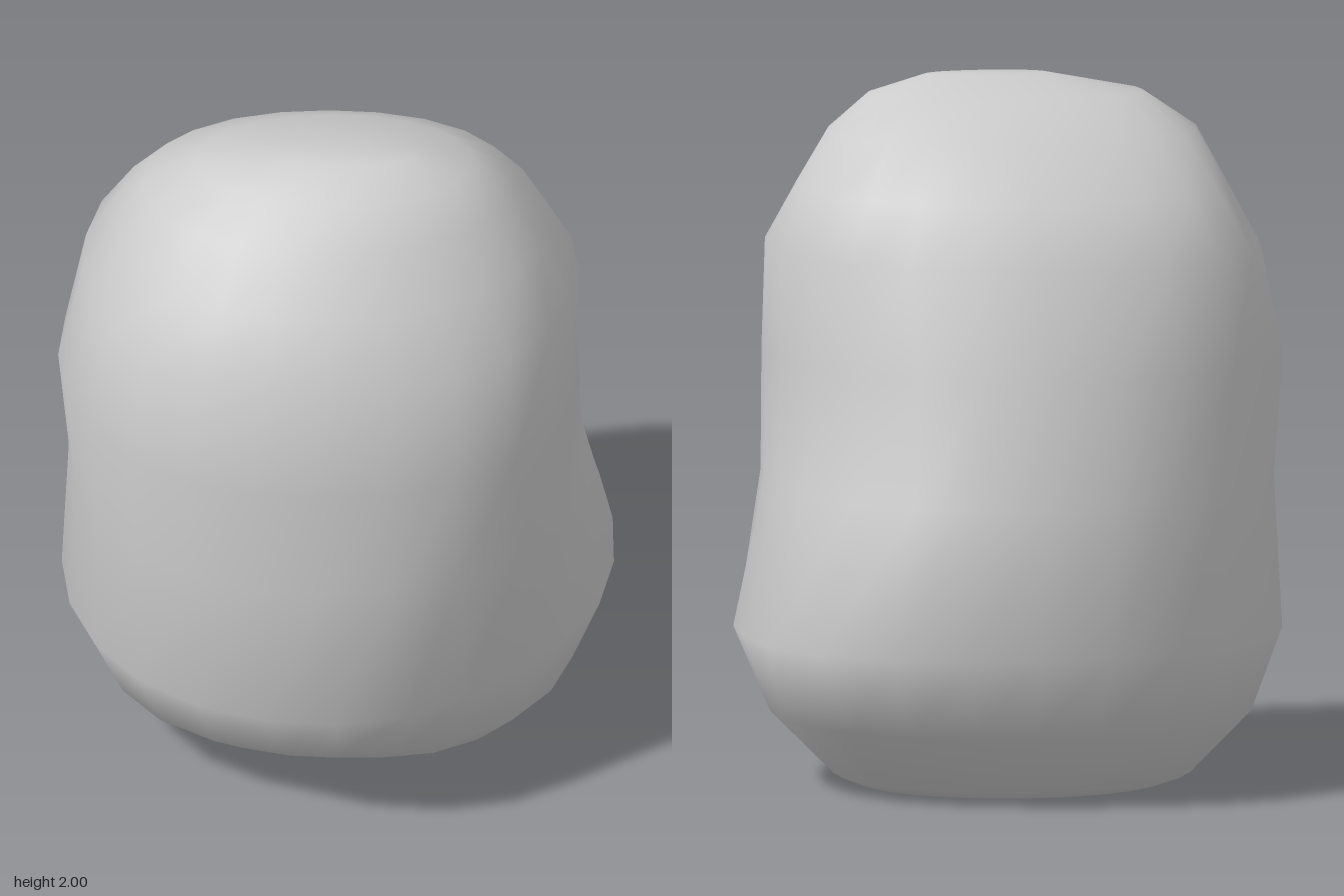
import * as THREE from 'three';

// Rings: y, xMin, xMax, zMin, zMax, then the corner bulge towards +x+z, -x+z, -x-z, +x-z
const RINGS = [
  [0.00, -0.44, 0.44, -0.42, 0.32, 1.10, 1.00, 1.00, 1.00],
  [0.03, -0.51, 0.51, -0.49, 0.38, 1.12, 1.04, 1.03, 1.02],
  [0.21, -0.68, 0.69, -0.68, 0.62, 1.03, 1.04, 1.07, 1.06],
  [0.45, -0.78, 0.79, -0.80, 0.81, 0.93, 1.02, 1.02, 1.12],
  [0.87, -0.76, 0.70, -0.72, 0.76, 1.06, 1.03, 1.00, 1.05],
  [1.22, -0.79, 0.69, -0.63, 0.78, 1.07, 1.03, 1.03, 1.01],
  [1.53, -0.72, 0.69, -0.53, 0.70, 1.02, 1.05, 1.09, 1.01],
  [1.70, -0.63, 0.60, -0.41, 0.59, 1.00, 1.03, 1.07, 1.03],
  [1.85, -0.55, 0.51, -0.24, 0.48, 0.99, 1.00, 1.03, 1.03],
  [1.95, -0.40, 0.39, -0.08, 0.37, 1.00, 1.00, 1.00, 1.00],
  [2.00, -0.13, 0.22, 0.12, 0.24, 1.00, 1.00, 1.00, 1.00],
];
const SIDES = 24;

// Point on a ring: an ellipse fitted to its extents, with each corner pushed in or out
function ringPoint([y, x0, x1, z0, z1, ...bulge], j) {
  const a = (j / SIDES) * Math.PI * 2;
  const corner = bulge[Math.floor((j * 4) / SIDES)];
  const r = 1 + (corner - 1) * Math.sin(2 * a) ** 2;
  return [
    (x0 + x1) / 2 + ((x1 - x0) / 2) * Math.cos(a) * r,
    y,
    (z0 + z1) / 2 + ((z1 - z0) / 2) * Math.sin(a) * r,
  ];
}

function boulderGeometry() {
  const positions = [];
  const index = [];
  for (const ring of RINGS) {
    for (let j = 0; j < SIDES; j++) positions.push(...ringPoint(ring, j));
  }
  // Slightly hollow underside and the crown
  const bottom = RINGS.length * SIDES;
  const top = bottom + 1;
  positions.push(0, 0.04, -0.05, 0.04, 2, 0.19);

  const last = (RINGS.length - 1) * SIDES;
  for (let j = 0; j < SIDES; j++) {
    const k = (j + 1) % SIDES;
    for (let base = 0; base < last; base += SIDES) {
      const a = base + j, b = base + k;
      index.push(a, a + SIDES, b, b, a + SIDES, b + SIDES);
    }
    index.push(bottom, j, k);
    index.push(top, last + k, last + j);
  }

  const geometry = new THREE.BufferGeometry();
  geometry.setAttribute('position', new THREE.Float32BufferAttribute(positions, 3));
  geometry.setIndex(index);
  geometry.computeVertexNormals();
  return geometry;
}

export function createModel() {
  const group = new THREE.Group();
  group.name = 'rock';
  const boulder = new THREE.Mesh(
    boulderGeometry(),
    new THREE.MeshStandardMaterial({ color: 0xcccccc })
  );
  boulder.name = 'boulder';
  group.add(boulder);
  return group;
}
